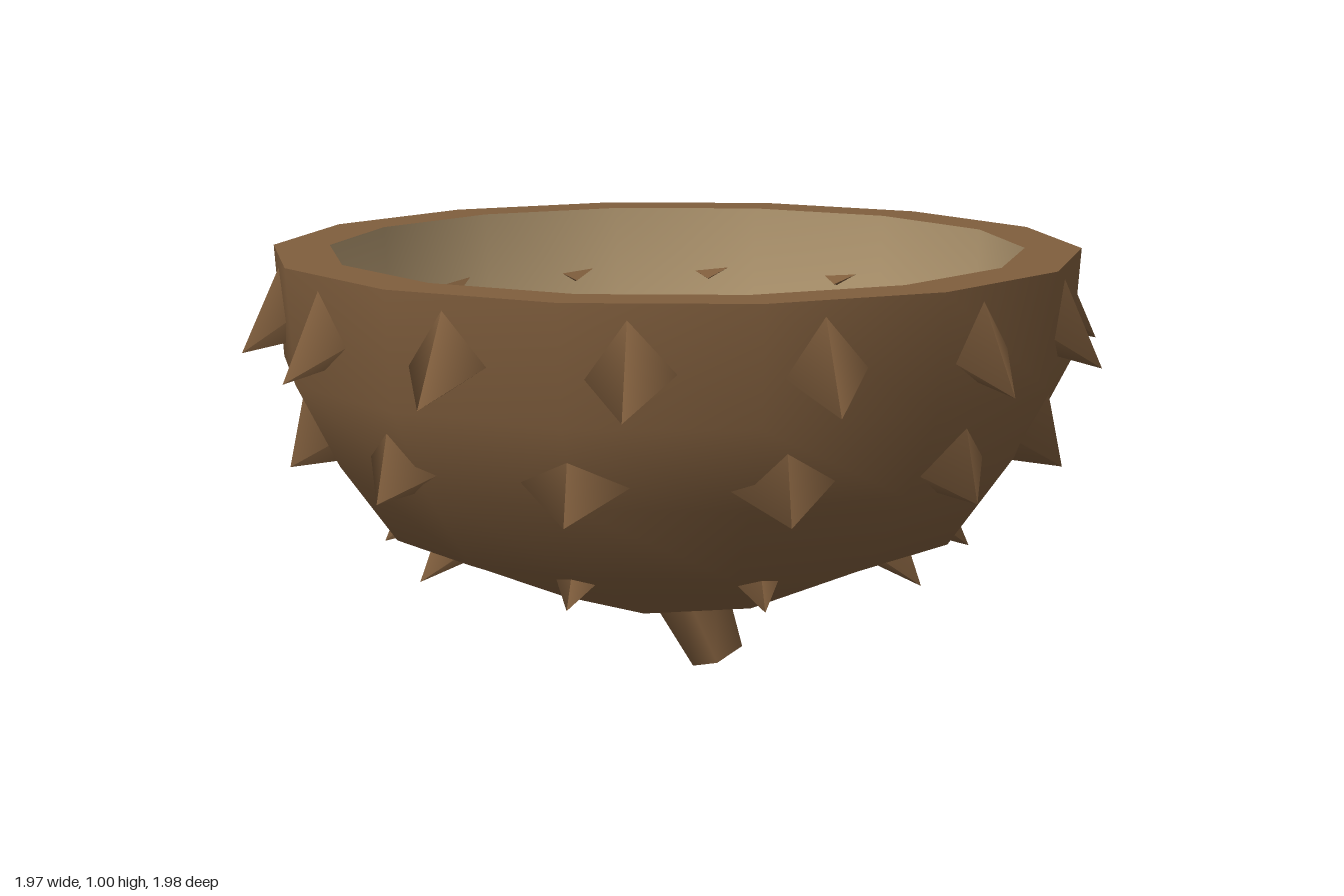
import * as THREE from 'three';

const husk = new THREE.MeshStandardMaterial({ color: 0x805e3d });
husk.name = 'brown husk';
const flesh = new THREE.MeshStandardMaterial({ color: 0xb0966f });
flesh.name = 'pale flesh';

const SIDES = 14;

function addMesh(parent, name, geometry, material) {
  const mesh = new THREE.Mesh(geometry, material);
  mesh.name = name;
  parent.add(mesh);
  return mesh;
}

// Bowl profile from the rim down to the hole, scaled sideways
function bowlProfile(scale) {
  return [[0.93, 1], [0.912, 0.74], [0.815, 0.55], [0.685, 0.37], [0.285, 0.2]]
    .map(([r, y]) => new THREE.Vector2(r * scale, y));
}

// Revolved band; rings around the hole lose every other corner, making it seven-sided
function band(points) {
  const geometry = new THREE.LatheGeometry(points, SIDES, Math.PI / 2);
  const pos = geometry.attributes.position;
  const flat = Math.cos((2 * Math.PI) / SIDES);
  for (let i = 1; i <= SIDES; i += 2) {
    points.forEach((p, j) => {
      if (p.x > 0.35) return;
      const k = i * points.length + j;
      pos.setXYZ(k, pos.getX(k) * flat, p.y, pos.getZ(k) * flat);
    });
  }
  return geometry;
}

// One ring of four-sided spikes; base and tip are [radius, height], widen stretches them sideways
function spikeRing(name, count, phase, base, tip, radius, widen) {
  const ring = new THREE.Group();
  ring.name = name;
  const dx = tip[0] - base[0], dy = tip[1] - base[1];
  const geometry = new THREE.ConeGeometry(radius, Math.hypot(dx, dy), 4);
  geometry.scale(1, 1, widen);
  geometry.rotateZ(Math.atan2(dy, dx) - Math.PI / 2);
  geometry.translate((base[0] + tip[0]) / 2, (base[1] + tip[1]) / 2, 0);
  for (let i = 0; i < count; i++) {
    const spike = addMesh(ring, 'spike', geometry, husk);
    spike.rotation.y = -(phase + (i * 2 * Math.PI) / count);
  }
  return ring;
}

export function createModel() {
  const model = new THREE.Group();
  model.name = 'spikyHalfShell';

  // Bowl: outer husk, inner flesh, flat rim and the collar of the hole
  const outer = bowlProfile(1);
  const inner = bowlProfile(0.86);
  addMesh(model, 'outerShell', band([...outer].reverse()), husk);
  addMesh(model, 'innerFlesh', band(inner), flesh);
  addMesh(model, 'rim', band([outer[0], inner[0]]), husk);
  addMesh(model, 'holeCollar', band([inner[4], outer[4]]), husk);

  // Three rings of spikes pointing outward and down, their bases sunk into the shell
  model.add(spikeRing('lowerSpikes', 10, 0, [0.549, 0.418], [0.685, 0.3], 0.09, 1.2));
  model.add(spikeRing('middleSpikes', 12, 0.225, [0.77, 0.645], [0.9, 0.53], 0.13, 1.4));
  model.add(spikeRing('upperSpikes', 14, 0.3, [0.825, 0.908], [0.995, 0.77], 0.11, 1.5));

  // Tilted four-sided stem under the hole
  const stem = addMesh(model, 'stem', new THREE.CylinderGeometry(0.1, 0.063, 0.25, 4), husk);
  stem.position.set(0.05, 0.142, 0);
  stem.rotation.z = 0.4;

  return model;
}
